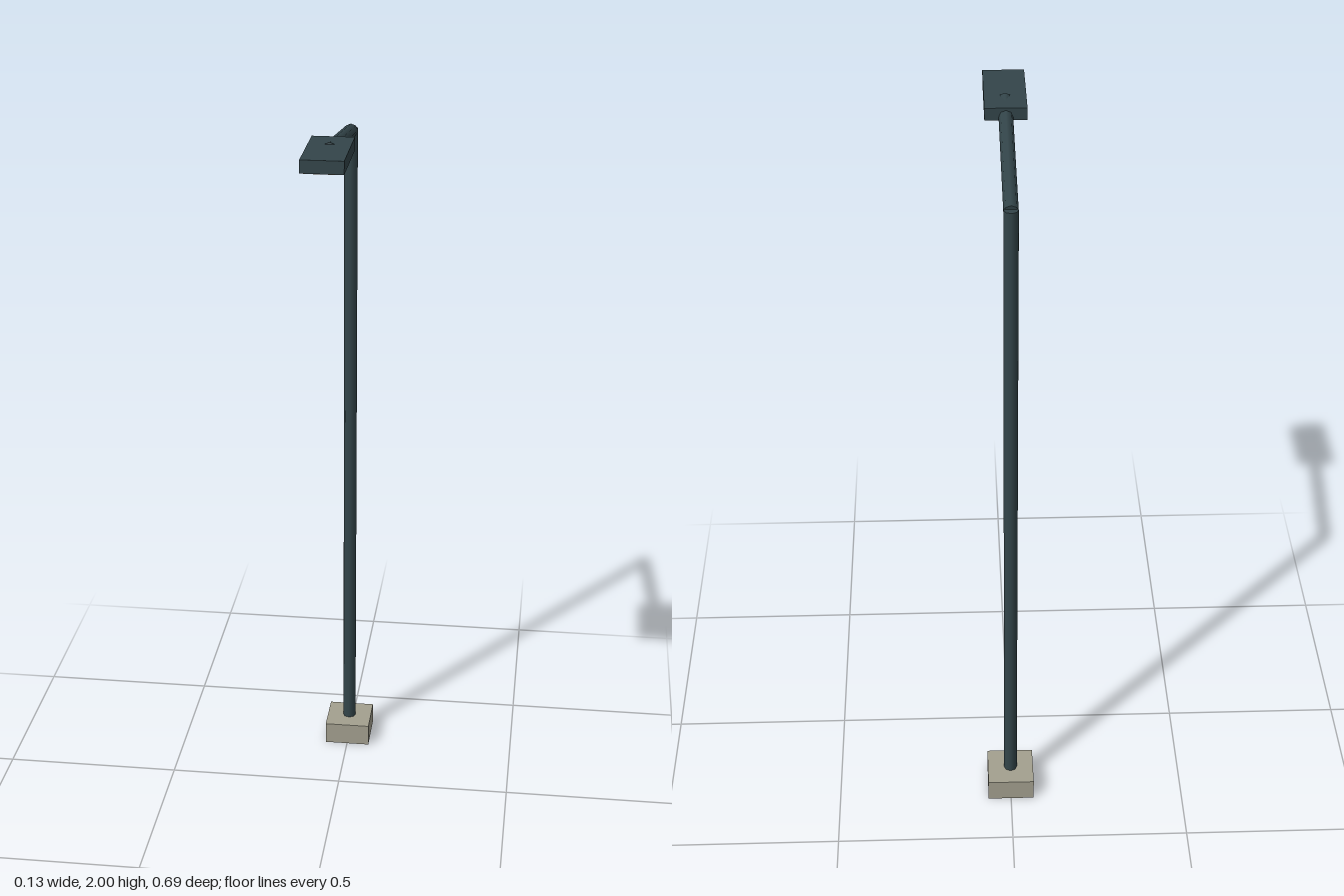
import * as THREE from 'three';

const material = (color) => new THREE.MeshStandardMaterial({ color });

export function createModel() {
  const group = new THREE.Group();
  const concrete = material(0xa3a08f);
  const metal = material(0x33454a);
  const glass = material(0xd8c9a0);
  const postZ = -0.279;
  const radius = 0.0187;

  const box = (name, mat, size, position) => {
    const mesh = new THREE.Mesh(new THREE.BoxGeometry(...size), mat);
    mesh.name = name;
    mesh.position.set(...position);
    group.add(mesh);
  };

  // Eight-sided tube between two points
  const tube = (name, from, to) => {
    const a = new THREE.Vector3(...from);
    const b = new THREE.Vector3(...to);
    const axis = b.clone().sub(a);
    const mesh = new THREE.Mesh(new THREE.CylinderGeometry(radius, radius, axis.length(), 8), metal);
    mesh.name = name;
    mesh.position.copy(a).lerp(b, 0.5);
    mesh.quaternion.setFromUnitVectors(new THREE.Vector3(0, 1, 0), axis.normalize());
    group.add(mesh);
  };

  // Footing, post and sloping arm
  box('footing', concrete, [0.132, 0.065, 0.132], [0, 0.0325, postZ]);
  tube('post', [0, 0.03, postZ], [0, 1.916, postZ]);
  tube('arm', [0, 1.909, postZ + 0.003], [0, 1.981, 0.193]);

  // Lamp head with its light panel underneath
  box('lampHead', metal, [0.11, 0.034, 0.229], [0, 1.977, 0.2275]);
  box('lightPanel', glass, [0.096, 0.008, 0.205], [0, 1.96, 0.2275]);

  return group;
}
